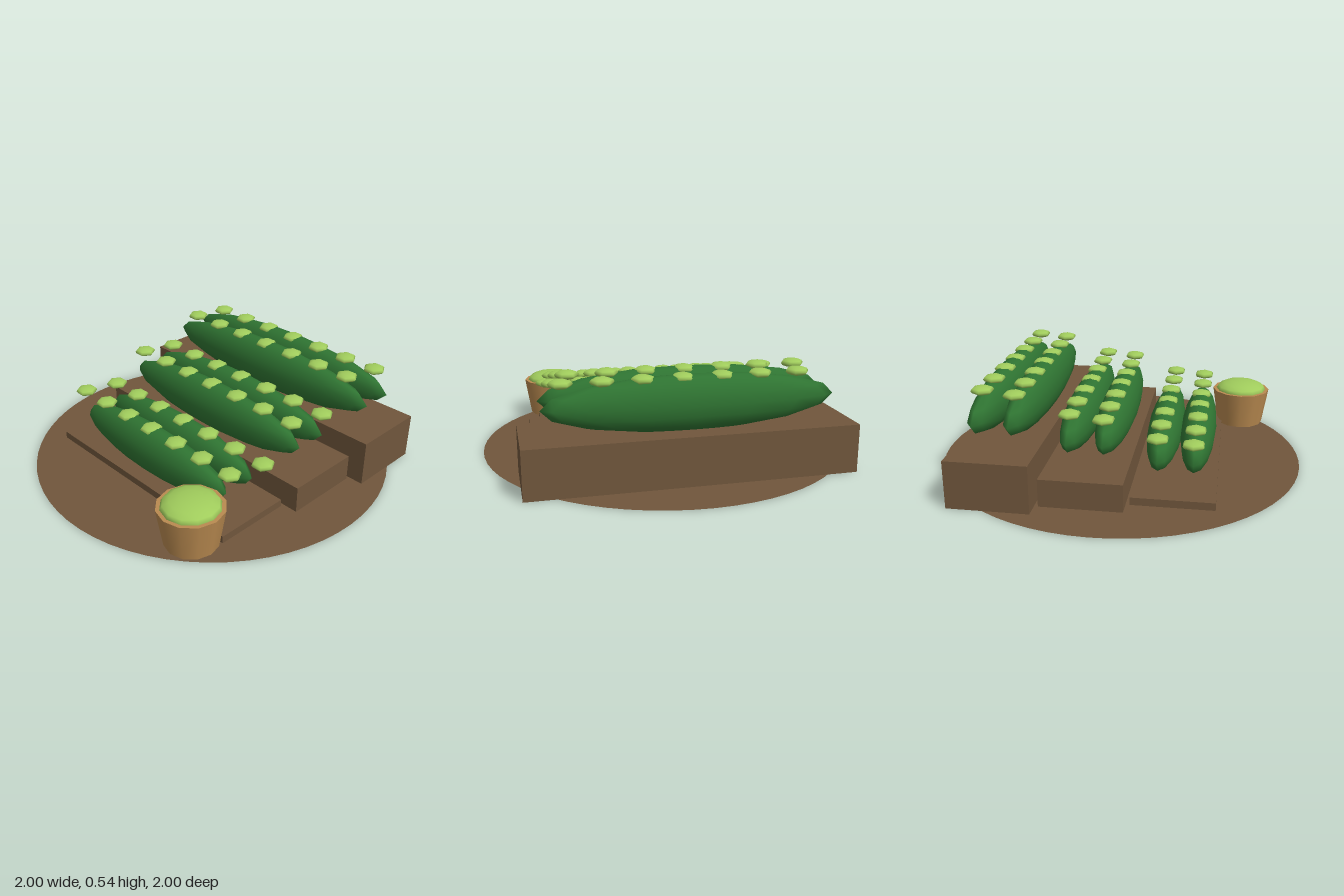
import * as THREE from 'three';

const material = (name, color, side = THREE.FrontSide) => {
  const m = new THREE.MeshStandardMaterial({ color, side });
  m.name = name;
  return m;
};

export function createModel() {
  const model = new THREE.Group();
  model.name = 'cactusTerrace';

  const soil = material('soil brown', 0x70563c, THREE.DoubleSide);
  const green = material('dark green', 0x2f7432);
  const lime = material('lime green', 0xa0cc5c);
  const clay = material('clay', 0xb98a50);

  const add = (name, geometry, mat, x, y, z, parent = model) => {
    const mesh = new THREE.Mesh(geometry, mat);
    mesh.name = name;
    mesh.position.set(x, y, z);
    parent.add(mesh);
    return mesh;
  };

  // Flat round ground
  add('ground', new THREE.CircleGeometry(1, 64).rotateX(-Math.PI / 2), soil, 0, 0, 0);

  const budGeometry = new THREE.SphereGeometry(1, 6, 6).scale(0.06, 0.023, 0.06);

  // Three terraces, each rising towards the back with two long plants
  const terraces = [
    { z: 0.35, halfWidth: 0.66, height: 0.04, halfLength: 0.56 },
    { z: -0.09, halfWidth: 0.745, height: 0.145, halfLength: 0.645 },
    { z: -0.53, halfWidth: 0.83, height: 0.25, halfLength: 0.73 },
  ];
  terraces.forEach(({ z, halfWidth, height, halfLength }) => {
    const terrace = new THREE.Group();
    terrace.name = 'terrace';
    model.add(terrace);

    add('step', new THREE.BoxGeometry(halfWidth * 2, height, 0.42), soil, 0, height / 2, z, terrace);

    const bodyGeometry = new THREE.SphereGeometry(1, 16, 8).scale(halfLength, 0.14, 0.096);
    [-1, 1].forEach((side) => {
      const rowZ = z + side * 0.09;
      add('plantBody', bodyGeometry, green, 0, height + 0.14, rowZ, terrace);

      // Row of buds along the top, staggered on the rear plant
      const shift = side < 0 ? 0.05 : 0;
      for (let i = -3; i <= 3; i++) {
        add('bud', budGeometry, lime, i * 0.194 + shift, height + 0.264, rowZ, terrace);
      }
    });
  });

  // Tapered pot with a domed plant
  const pot = new THREE.Group();
  pot.name = 'pottedPlant';
  pot.position.set(0.56, 0, 0.67);
  model.add(pot);
  add('pot', new THREE.CylinderGeometry(0.17, 0.137, 0.21, 12), clay, 0, 0.125, 0, pot);
  add('dome', new THREE.SphereGeometry(1, 12, 8).scale(0.15, 0.052, 0.15), lime, 0, 0.23, 0, pot);

  return model;
}
